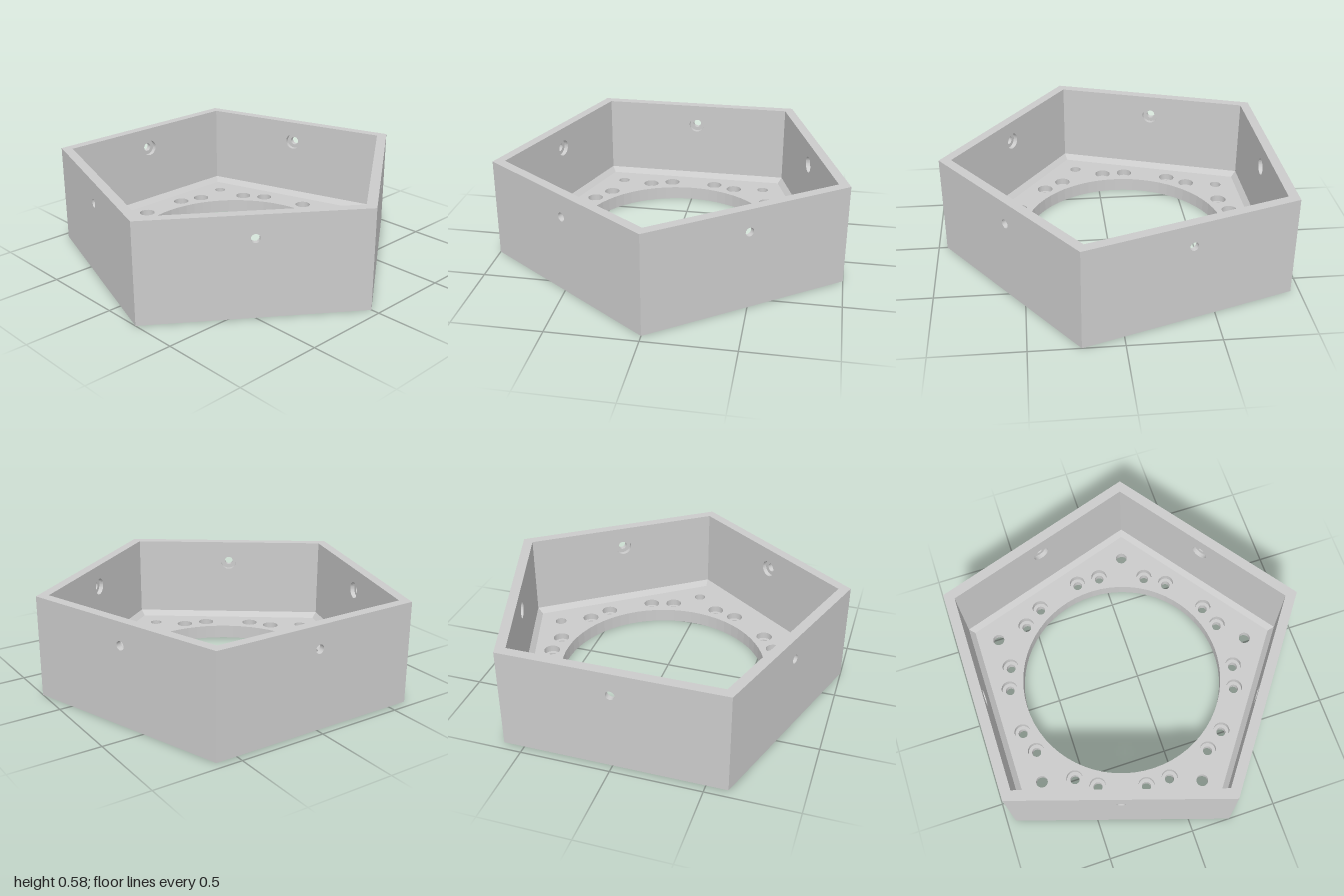
import * as THREE from 'three';

const SIDES = 5, R = 1.0515, HEIGHT = 0.58, FLOOR = 0.08, CHAMFER = 0.03;
const COS = Math.cos(Math.PI / SIDES), SIN = Math.sin(Math.PI / SIDES);
const AP_OUT = R * COS, AP_IN = AP_OUT - 0.056;      // wall faces, from the centre
const R_IN = AP_IN / COS, R_FLOOR = (AP_IN - CHAMFER) / COS;
const OPENING = 0.595, SEG = 32;
const BORE_Y = 0.45;                                  // height of the side holes

const material = new THREE.MeshStandardMaterial({ color: 0xcccccc, flatShading: true });

// Points of a regular polygon or circle
const ring = (n, r, cx = 0, cy = 0) => Array.from({ length: n }, (_, i) => {
  const a = (i / n) * Math.PI * 2;
  return new THREE.Vector2(cx + r * Math.cos(a), cy + r * Math.sin(a));
});

// Flat face with holes
function face(outline, holes) {
  const shape = new THREE.Shape(outline);
  holes.forEach((h) => shape.holes.push(new THREE.Path(h)));
  return new THREE.ShapeGeometry(shape);
}

// Inward-facing turned surface; profile runs from top to bottom
const bore = (profile, segments = SEG, start = 0) =>
  new THREE.LatheGeometry(profile.map(([r, y]) => new THREE.Vector2(r, y)), segments, start);

function add(parent, name, geometry, x = 0, y = 0, z = 0) {
  const mesh = new THREE.Mesh(geometry, material);
  mesh.name = name;
  mesh.position.set(x, y, z);
  parent.add(mesh);
  return mesh;
}

export function createModel() {
  const model = new THREE.Group();
  model.name = 'pentagonHousing';
  const body = new THREE.Group();
  body.name = 'body';
  body.position.x = R * COS - (R + AP_OUT) / 2;
  body.position.x = (AP_OUT - R) / 2;
  model.add(body);

  // Hole positions: one per corner, two pairs around each corner
  const polar = (r, deg) => [r * Math.cos(deg * Math.PI / 180), r * Math.sin(deg * Math.PI / 180)];
  const corners = [], pairs = [];
  for (let i = 0; i < SIDES; i++) {
    corners.push(polar(0.792, i * 72));
    [-24, -12, 12, 24].forEach((d) => pairs.push(polar(0.68, i * 72 + d)));
  }
  const floorHoles = (cornerR, pairR) => [
    ring(64, OPENING),
    ...corners.map((p) => ring(SEG, cornerR, ...p)),
    ...pairs.map((p) => ring(SEG, pairR, ...p)),
  ];

  // Floor, underside and top rim
  add(body, 'underside', face(ring(SIDES, R), floorHoles(0.05, 0.027)).rotateX(Math.PI / 2));
  add(body, 'floor', face(ring(SIDES, R_FLOOR), floorHoles(0.034, 0.047)).rotateX(-Math.PI / 2), 0, FLOOR);
  add(body, 'rim', face(ring(SIDES, R), [ring(SIDES, R_IN)]).rotateX(-Math.PI / 2), 0, HEIGHT);

  // Central opening and the chamfer where floor meets walls
  add(body, 'centralOpening', bore([[OPENING, FLOOR], [OPENING, 0]], 64));
  add(body, 'floorChamfer', bore([[R_IN, FLOOR + CHAMFER], [R_FLOOR, FLOOR]], SIDES, Math.PI / 2));

  // Floor holes: corners counterbored from below, pairs from above
  const half = FLOOR / 2;
  const cornerBore = bore([[0.034, FLOOR], [0.034, half], [0.05, half], [0.05, 0]]);
  const pairBore = bore([[0.047, FLOOR], [0.047, half], [0.027, half], [0.027, 0]]);
  corners.forEach(([x, z]) => add(body, 'cornerHole', cornerBore, x, 0, z));
  pairs.forEach(([x, z]) => add(body, 'pairHole', pairBore, x, 0, z));

  // Walls, each with a hole counterbored from inside
  const panel = (halfWidth, bottom, holeR) => face([
    new THREE.Vector2(-halfWidth, bottom), new THREE.Vector2(halfWidth, bottom),
    new THREE.Vector2(halfWidth, HEIGHT), new THREE.Vector2(-halfWidth, HEIGHT),
  ], [ring(SEG, holeR, 0, BORE_Y)]);
  const outer = panel(R * SIN, 0, 0.025);
  const inner = panel(R_IN * SIN, FLOOR + CHAMFER, 0.048).rotateY(Math.PI);
  const step = AP_OUT - 0.03;
  const sideBore = bore([[0.025, AP_OUT], [0.025, step], [0.048, step], [0.048, AP_IN]]).rotateX(Math.PI / 2);
  for (let i = 0; i < SIDES; i++) {
    const wall = new THREE.Group();
    wall.name = 'wall';
    wall.rotation.y = -Math.PI / 2 + (i * 2 * Math.PI) / SIDES;
    add(wall, 'wallOutside', outer, 0, 0, AP_OUT);
    add(wall, 'wallInside', inner, 0, 0, AP_IN);
    add(wall, 'sideHole', sideBore, 0, BORE_Y, 0);
    body.add(wall);
  }
  return model;
}
